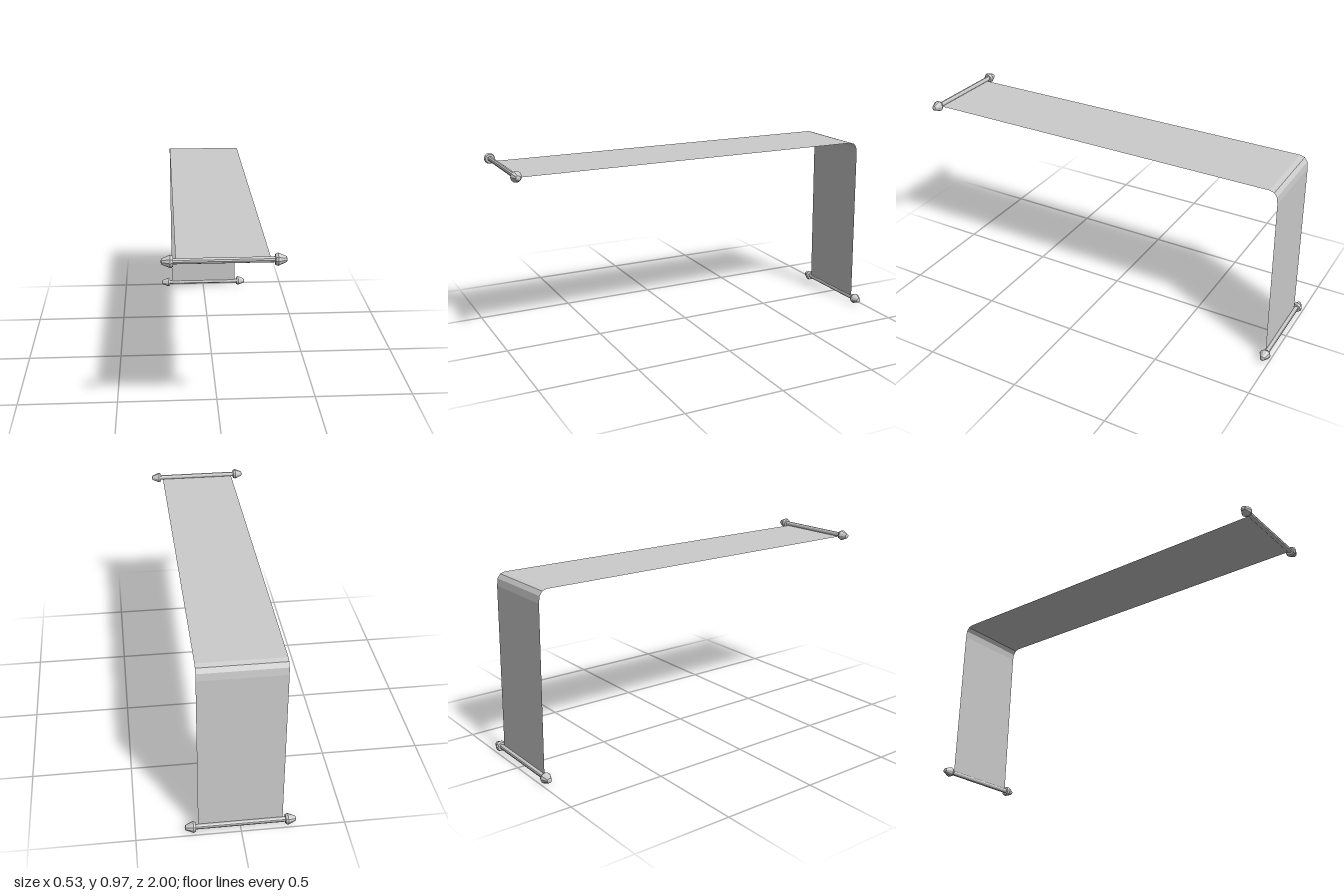
import * as THREE from 'three';

const material = new THREE.MeshStandardMaterial({ color: 0xcccccc, flatShading: true, side: THREE.DoubleSide });
const HALF_WIDTH = 0.203;

// Thin sheet swept across x along a list of [y, z] points
function makeSheet(path) {
  const positions = [];
  const index = [];
  path.forEach(([y, z], i) => {
    positions.push(-HALF_WIDTH, y, z, HALF_WIDTH, y, z);
    if (i > 0) {
      const a = 2 * (i - 1);
      index.push(a, a + 1, a + 3, a, a + 3, a + 2);
    }
  });
  const geometry = new THREE.BufferGeometry();
  geometry.setAttribute('position', new THREE.Float32BufferAttribute(positions, 3));
  geometry.setIndex(index);
  geometry.computeVertexNormals();
  const sheet = new THREE.Mesh(geometry, material);
  sheet.name = 'sheet';
  return sheet;
}

// Round rod along x with a tapered knob on each end
function makeRoller(name, y, z) {
  const roller = new THREE.Group();
  roller.name = name;
  const rod = new THREE.Mesh(new THREE.CylinderGeometry(0.0125, 0.0125, 0.45, 10), material);
  rod.name = 'rod';
  rod.rotation.z = Math.PI / 2;
  roller.add(rod);

  const profile = [[0, 0.215], [0.023, 0.215], [0.028, 0.227], [0.012, 0.264], [0, 0.267]]
    .map(([r, h]) => new THREE.Vector2(r, h));
  const knobGeometry = new THREE.LatheGeometry(profile, 10);
  for (const side of [1, -1]) {
    const knob = new THREE.Mesh(knobGeometry, material);
    knob.name = side > 0 ? 'leftKnob' : 'rightKnob';
    knob.rotation.z = -side * Math.PI / 2;
    roller.add(knob);
  }
  roller.position.set(0, y, z);
  return roller;
}

export function createModel() {
  const group = new THREE.Group();
  group.name = 'hangingScroll';

  // Flat run, rounded bend at the back, then the hanging run
  group.add(makeSheet([
    [0.935, 0.975], [0.933, 0.96], [0.933, -0.905],
    [0.926, -0.93], [0.905, -0.945], [0.87, -0.95],
    [0.03, -0.965],
  ]));

  group.add(makeRoller('frontRoller', 0.944, 0.973));
  group.add(makeRoller('backRoller', 0.029, -0.972));
  return group;
}
